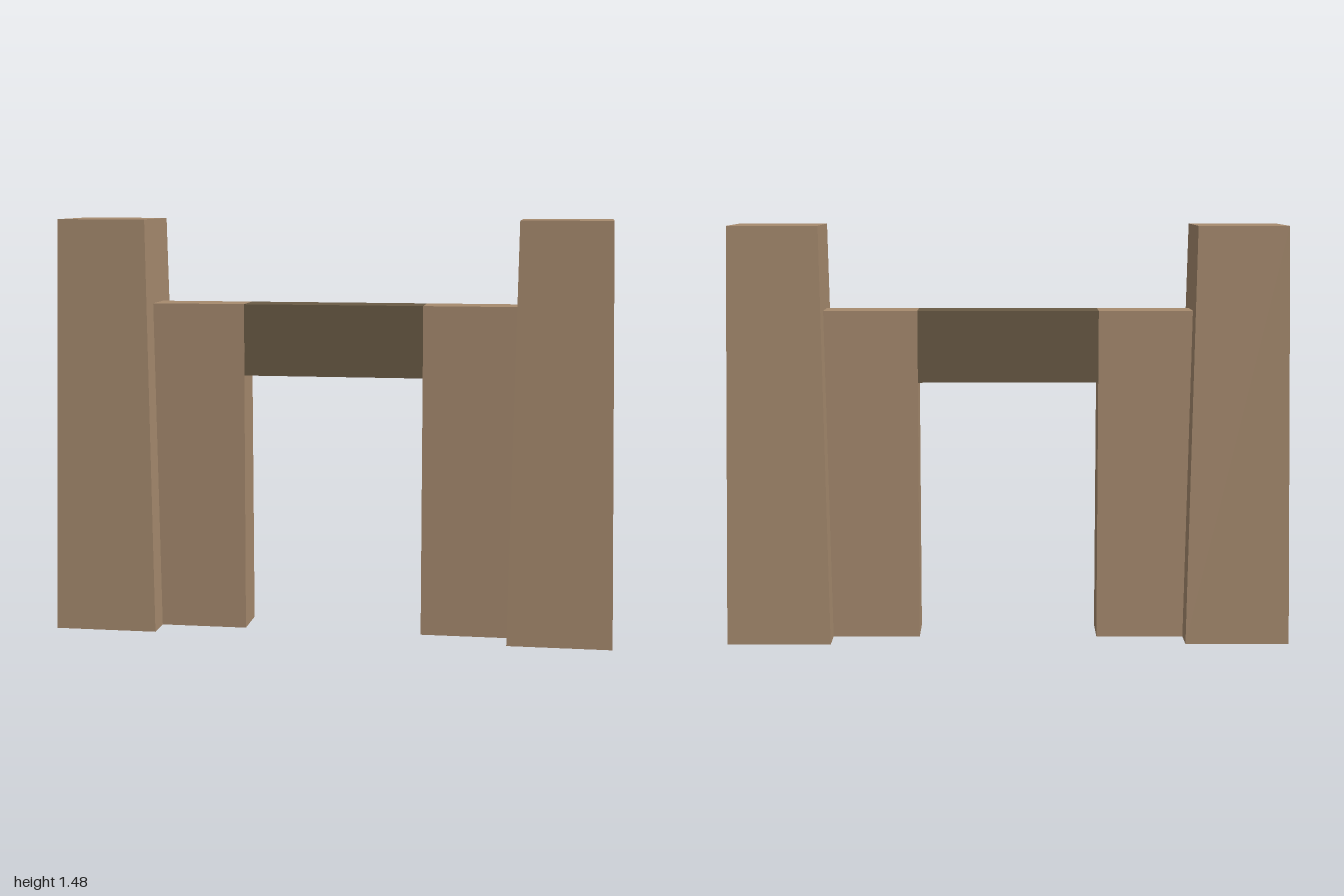
import * as THREE from 'three';

const H = 1.48;       // tower height
const WING_H = 1.18;  // wing wall height

// Flat-shaded mesh from four-cornered faces, counter-clockwise seen from outside.
function quadMesh(name, quads, material, side) {
  const pos = [];
  for (const q of quads) {
    // side -1 mirrors across x and reverses the winding
    const c = q.map(([x, y, z]) => [x * side, y, z]);
    if (side < 0) c.reverse();
    for (const i of [0, 1, 2, 0, 2, 3]) pos.push(...c[i]);
  }
  const geo = new THREE.BufferGeometry();
  geo.setAttribute('position', new THREE.Float32BufferAttribute(pos, 3));
  geo.computeVertexNormals();
  const mesh = new THREE.Mesh(geo, material);
  mesh.name = name;
  return mesh;
}

export function createModel() {
  const stone = new THREE.MeshStandardMaterial({ color: 0xa68a6e, side: THREE.DoubleSide });
  stone.name = 'tan stone';
  const timber = new THREE.MeshStandardMaterial({ color: 0x695a45 });
  timber.name = 'dark brown';

  const group = new THREE.Group();
  group.name = 'gateway';

  // Tapered tower surface: inner and outer x, and half depth, at height y
  const inner = (y) => 0.632 + 0.025 * (y / H);
  const outer = (y) => 1 - 0.027 * (y / H);
  const depth = (y) => 0.185 - 0.027 * (y / H);
  const wingDepth = (y) => 0.08 - 0.009 * (y / WING_H);
  const GATE_X = 0.32;

  for (const side of [1, -1]) {
    // Corner helpers: tower inner/outer, wing end on the tower, wing end at the gate
    const ti = (y, s) => [inner(y), y, s * depth(y)];
    const to = (y, s) => [outer(y), y, s * depth(y)];
    const wt = (y, s) => [inner(y), y, s * wingDepth(y)];
    const wg = (y, s) => [GATE_X, y, s * wingDepth(y)];
    const td = (s) => [inner(WING_H), WING_H, s * depth(WING_H)];

    // Hollow tower, open underneath, with an opening into the wing wall
    group.add(quadMesh(side > 0 ? 'leftTower' : 'rightTower', [
      [ti(0, 1), to(0, 1), to(H, 1), ti(H, 1)],
      [to(0, -1), ti(0, -1), ti(H, -1), to(H, -1)],
      [to(0, 1), to(0, -1), to(H, -1), to(H, 1)],
      [ti(H, 1), to(H, 1), to(H, -1), ti(H, -1)],
      [wt(0, 1), ti(0, 1), td(1), wt(WING_H, 1)],
      [ti(0, -1), wt(0, -1), wt(WING_H, -1), td(-1)],
      [td(-1), td(1), ti(H, 1), ti(H, -1)],
    ], stone, side));

    // Wing wall between tower and gate, open underneath
    group.add(quadMesh(side > 0 ? 'leftWingWall' : 'rightWingWall', [
      [wg(0, 1), wt(0, 1), wt(WING_H, 1), wg(WING_H, 1)],
      [wt(0, -1), wg(0, -1), wg(WING_H, -1), wt(WING_H, -1)],
      [wg(0, -1), wg(0, 1), wg(WING_H, 1), wg(WING_H, -1)],
      [wg(WING_H, 1), wt(WING_H, 1), wt(WING_H, -1), wg(WING_H, -1)],
    ], stone, side));
  }

  // Lintel beam over the gate
  const beam = new THREE.Mesh(new THREE.BoxGeometry(2 * GATE_X, 0.255, 0.142), timber);
  beam.position.y = WING_H - 0.1275;
  beam.name = 'lintelBeam';
  group.add(beam);

  return group;
}
